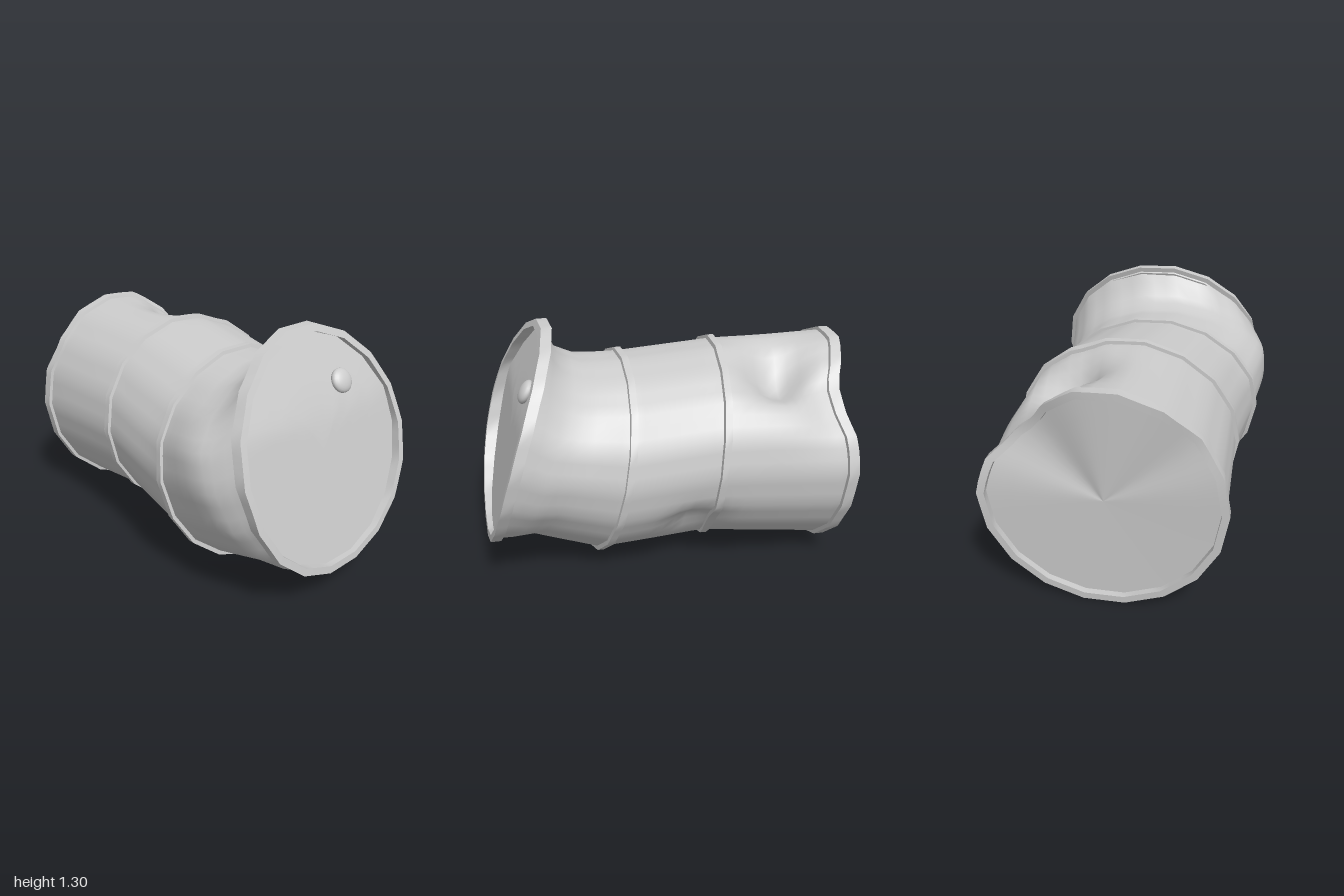
import * as THREE from 'three';

const SIDES = 18, SUB = 3, N = SIDES * SUB;

// Key cross-sections, front to back
const KEYS = [
  { cx: 0.01, cy: 0.725, rx: 0.585, ry: 0.57, z: 0.835, ty: -0.31, tx: -0.06, q: -0.18 },   // front rim
  { cx: -0.02, cy: 0.65, rx: 0.6, ry: 0.5, z: 0.71, ty: -0.35, tx: -0.08, q: 0 },           // flare
  { cx: -0.035, cy: 0.625, rx: 0.6, ry: 0.472, z: 0.6, ty: -0.38, tx: -0.1, q: 0 },         // crushed neck
  { cx: -0.025, cy: 0.56, rx: 0.58, ry: 0.543, z: 0.285, ty: -0.19, tx: -0.05, q: 0.04 },   // front hoop
  { cx: 0.04, cy: 0.63, rx: 0.575, ry: 0.533, z: -0.245, ty: -0.1, tx: 0.04, q: -0.04 },    // rear hoop
  { cx: 0.055, cy: 0.597, rx: 0.585, ry: 0.582, z: -0.92, ty: -0.08, tx: 0.02, q: 0 },      // back rim
];

// Dents and bulges: centre, radius, push
const DENTS = [
  { at: [0.31, 1.13, -0.6], r: 0.26, push: [-0.05, -0.2, 0] },
  { at: [0.51, 0.28, -0.09], r: 0.17, push: [-0.06, 0.045, 0] },
  { at: [0.47, 1.0, -0.93], r: 0.36, push: [-0.07, -0.06, 0.08] },
  { at: [-0.42, 0.97, -0.96], r: 0.22, push: [0, 0, 0.035] },
  { at: [-0.57, 0.76, 0.57], r: 0.34, push: [-0.05, 0.04, 0] },
].map(d => ({ at: new THREE.Vector3(...d.at), r: d.r, push: new THREE.Vector3(...d.push) }));

function dent(p) {
  const move = new THREE.Vector3();
  for (const d of DENTS) {
    move.addScaledVector(d.push, Math.exp(-2 * p.distanceToSquared(d.at) / (d.r * d.r)));
  }
  return p.add(move);
}

// Cross-section at station s, grown by dr and shifted by dz
function ring(s, dr = 0, dz = 0) {
  const i = Math.min(Math.floor(s), KEYS.length - 2), f = s - i, k = {};
  for (const name in KEYS[0]) k[name] = THREE.MathUtils.lerp(KEYS[i][name], KEYS[i + 1][name], f);
  const corner = j => {
    const a = (j + 0.5) / SIDES * Math.PI * 2;
    return [Math.sin(a) * (k.rx + dr), Math.cos(a) * (k.ry + dr)];
  };
  const points = [];
  for (let j = 0; j < N; j++) {
    const c = Math.floor(j / SUB), t = (j % SUB) / SUB;
    const [x0, y0] = corner(c), [x1, y1] = corner(c + 1);
    const x = x0 + (x1 - x0) * t, y = y0 + (y1 - y0) * t;
    const z = k.z + dz + k.ty * y + k.tx * x + k.q * y * y;
    points.push(dent(new THREE.Vector3(k.cx + x, k.cy + y, z)));
  }
  return points;
}

// Smooth skin through a list of rings
function loft(rings) {
  const pos = [], index = [];
  for (const r of rings) for (const p of r) pos.push(p.x, p.y, p.z);
  for (let i = 0; i < rings.length - 1; i++) {
    for (let j = 0; j < N; j++) {
      const a = i * N + j, b = i * N + (j + 1) % N;
      index.push(a, b, a + N, b, b + N, a + N);
    }
  }
  const g = new THREE.BufferGeometry();
  g.setAttribute('position', new THREE.Float32BufferAttribute(pos, 3));
  g.setIndex(index);
  g.computeVertexNormals();
  return g;
}

// Rings shrinking from a lid edge to its middle
function lidRings(edge) {
  const mid = new THREE.Vector3();
  edge.forEach(p => mid.addScaledVector(p, 1 / N));
  return [1, 0.8, 0.6, 0.4, 0.2, 0.001].map(t => edge.map(p => mid.clone().lerp(p, t)));
}

// The front lid is bent along a level fold: steeper above, flatter below
function foldLid(p) {
  const h = p.y - 0.9;
  p.z = 0.77 - h * (h > 0 ? 0.5 : 0.25) - 0.04 * p.x;
  return p;
}

export function createModel() {
  const model = new THREE.Group();
  const material = new THREE.MeshStandardMaterial({ color: 0xcccccc, side: THREE.DoubleSide });
  const add = (name, geometry, parent = model) => {
    const mesh = new THREE.Mesh(geometry, material);
    mesh.name = name;
    parent.add(mesh);
    return mesh;
  };
  // Crisp band: each step of the profile is its own strip
  const addBand = (name, rings) => {
    const band = new THREE.Group();
    band.name = name;
    for (let i = 0; i < rings.length - 1; i++) add(name + 'Face', loft([rings[i], rings[i + 1]]), band);
    model.add(band);
  };

  // Dented drum wall
  const wall = [];
  const STEPS = [2, 2, 4, 8, 10];
  STEPS.forEach((n, i) => { for (let j = 0; j < n; j++) wall.push(ring(i + j / n)); });
  wall.push(ring(STEPS.length));
  add('drumWall', loft(wall));

  // Two hoops around the wall
  [['frontHoop', 3], ['rearHoop', 4]].forEach(([name, s]) => {
    addBand(name, [ring(s, -0.01, 0.022), ring(s, 0.018, 0.018), ring(s, 0.018, -0.018), ring(s, -0.01, -0.022)]);
  });

  // Front lid and rim
  const frontEdge = ring(0, -0.02).map(foldLid);
  add('frontLid', loft(lidRings(frontEdge).map(r => r.map(foldLid)).reverse()));
  addBand('frontRim', [frontEdge, ring(0, -0.02, 0.03), ring(0, 0.017, 0.03), ring(0, 0.017, -0.025), ring(0, -0.01, -0.03)]);

  // Back lid and rim
  const backEdge = ring(5, -0.02, 0.005);
  addBand('backRim', [ring(5, -0.01, 0.03), ring(5, 0.017, 0.025), ring(5, 0.017, -0.03), ring(5, -0.02, -0.03), backEdge]);
  add('backLid', loft(lidRings(backEdge)));

  // Rounded plug on the front lid
  const plug = add('plug', new THREE.SphereGeometry(0.065, 20, 12));
  plug.scale.y = 0.5;
  plug.rotation.x = 1.08;
  plug.position.set(0.22, 1.01, 0.72);

  return model;
}
